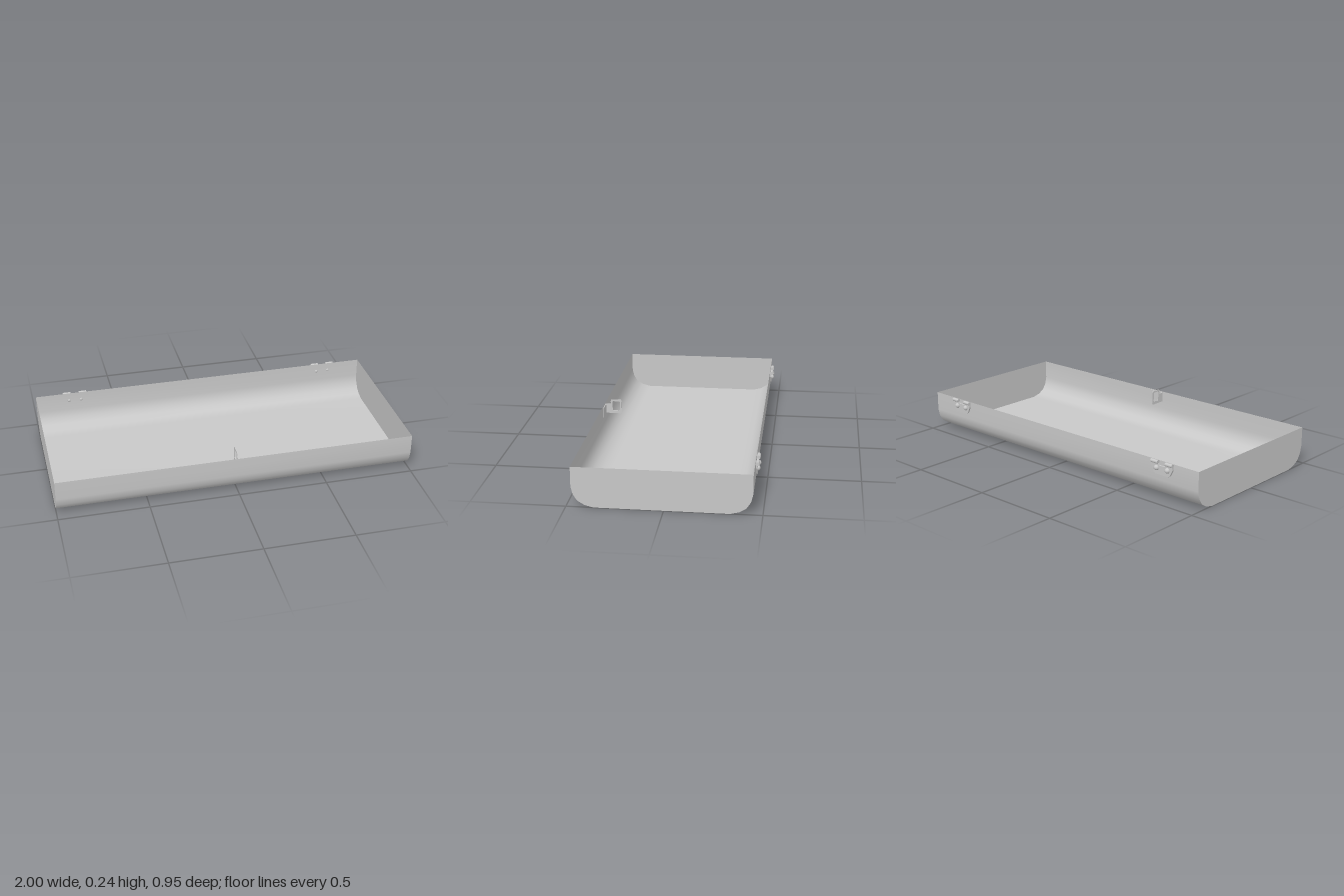
import * as THREE from 'three';

const steel = new THREE.MeshStandardMaterial({ color: 0xc8c8c8, side: THREE.DoubleSide });
steel.name = 'grey steel';

// Tray cross-section as [z, y], from the front rim round to the back rim
const PROFILE = [
  [0.473, 0.217], [0.473, 0.11], [0.463, 0.068], [0.441, 0.034], [0.405, 0.012], [0.358, 0],
  [-0.336, 0], [-0.383, 0.012], [-0.418, 0.034], [-0.44, 0.068], [-0.45, 0.11], [-0.45, 0.217],
];

function add(parent, name, geometry, x = 0, y = 0, z = 0) {
  const mesh = new THREE.Mesh(geometry, steel);
  mesh.name = name;
  mesh.position.set(x, y, z);
  parent.add(mesh);
  return mesh;
}

function roundedOutline(path, x0, y0, x1, y1, r) {
  path.moveTo(x0 + r, y0);
  path.lineTo(x1 - r, y0);
  path.quadraticCurveTo(x1, y0, x1, y0 + r);
  path.lineTo(x1, y1 - r);
  path.quadraticCurveTo(x1, y1, x1 - r, y1);
  path.lineTo(x0 + r, y1);
  path.quadraticCurveTo(x0, y1, x0, y1 - r);
  path.lineTo(x0, y0 + r);
  path.quadraticCurveTo(x0, y0, x0 + r, y0);
  return path;
}

// Thin curved sheet swept along x
function sheetGeometry() {
  const positions = [], index = [];
  PROFILE.forEach(([z, y], i) => {
    positions.push(-1, y, z, 1, y, z);
    if (i > 0) {
      const a = 2 * (i - 1);
      index.push(a, a + 2, a + 1, a + 1, a + 2, a + 3);
    }
  });
  const geometry = new THREE.BufferGeometry();
  geometry.setAttribute('position', new THREE.Float32BufferAttribute(positions, 3));
  geometry.setIndex(index);
  geometry.computeVertexNormals();
  return geometry;
}

// Hinge leaf with knuckles and two rivets through the back wall
function createHinge(x) {
  const hinge = new THREE.Group();
  hinge.name = 'hinge';
  hinge.position.set(x, 0, -0.45);

  const leaf = new THREE.Shape([
    [-0.07, 0.205], [-0.07, 0.185], [-0.054, 0.152], [-0.044, 0.143],
    [0.044, 0.143], [0.054, 0.152], [0.07, 0.185], [0.07, 0.205],
    [0.026, 0.205], [0.02, 0.192], [-0.02, 0.192], [-0.026, 0.205],
  ].map(([px, py]) => new THREE.Vector2(px, py)));
  add(hinge, 'hingeLeaf', new THREE.ExtrudeGeometry(leaf, { depth: 0.009, bevelEnabled: false }), 0, 0, -0.01);

  for (const side of [-1, 1]) {
    const knuckle = new THREE.CylinderGeometry(0.01, 0.01, 0.045, 14).rotateZ(Math.PI / 2);
    add(hinge, 'hingeKnuckle', knuckle, side * 0.0475, 0.209, -0.01);
    const rivet = new THREE.SphereGeometry(0.015, 14, 6, 0, Math.PI * 2, 0, Math.PI / 2).rotateX(-Math.PI / 2);
    add(hinge, 'hingeRivet', rivet, side * 0.036, 0.177, -0.009);
    const inner = new THREE.SphereGeometry(0.009, 12, 5, 0, Math.PI * 2, 0, Math.PI / 2)
      .rotateX(Math.PI / 2).scale(1, 1, 0.6);
    add(hinge, 'rivetEnd', inner, side * 0.036, 0.17, 0.001);
  }
  return hinge;
}

// Thin pierced staple on an L bracket inside the front wall
function createStaple() {
  const staple = new THREE.Group();
  staple.name = 'latchStaple';
  const outline = roundedOutline(new THREE.Shape(), 0.377, 0.155, 0.441, 0.238, 0.01);
  outline.holes.push(roundedOutline(new THREE.Path(), 0.388, 0.172, 0.43, 0.228, 0.005));
  const loop = new THREE.ExtrudeGeometry(outline, { depth: 0.004, bevelEnabled: false, curveSegments: 4 });
  add(staple, 'stapleLoop', loop.rotateY(-Math.PI / 2), 0.002);
  add(staple, 'stapleWeb', new THREE.BoxGeometry(0.004, 0.055, 0.036), 0, 0.1835, 0.454);
  add(staple, 'stapleFlange', new THREE.BoxGeometry(0.09, 0.055, 0.004), 0.045, 0.1835, 0.47);
  return staple;
}

export function createModel() {
  const model = new THREE.Group();
  model.name = 'openTray';
  add(model, 'traySheet', sheetGeometry());

  // Flat end walls
  const endShape = new THREE.Shape(PROFILE.map(([z, y]) => new THREE.Vector2(z, y)));
  for (const side of [-1, 1]) {
    add(model, side > 0 ? 'leftEnd' : 'rightEnd', new THREE.ShapeGeometry(endShape).rotateY(side * Math.PI / 2).scale(1, 1, -side), side);
    model.add(createHinge(side * 0.77));
  }
  model.add(createStaple());
  return model;
}
